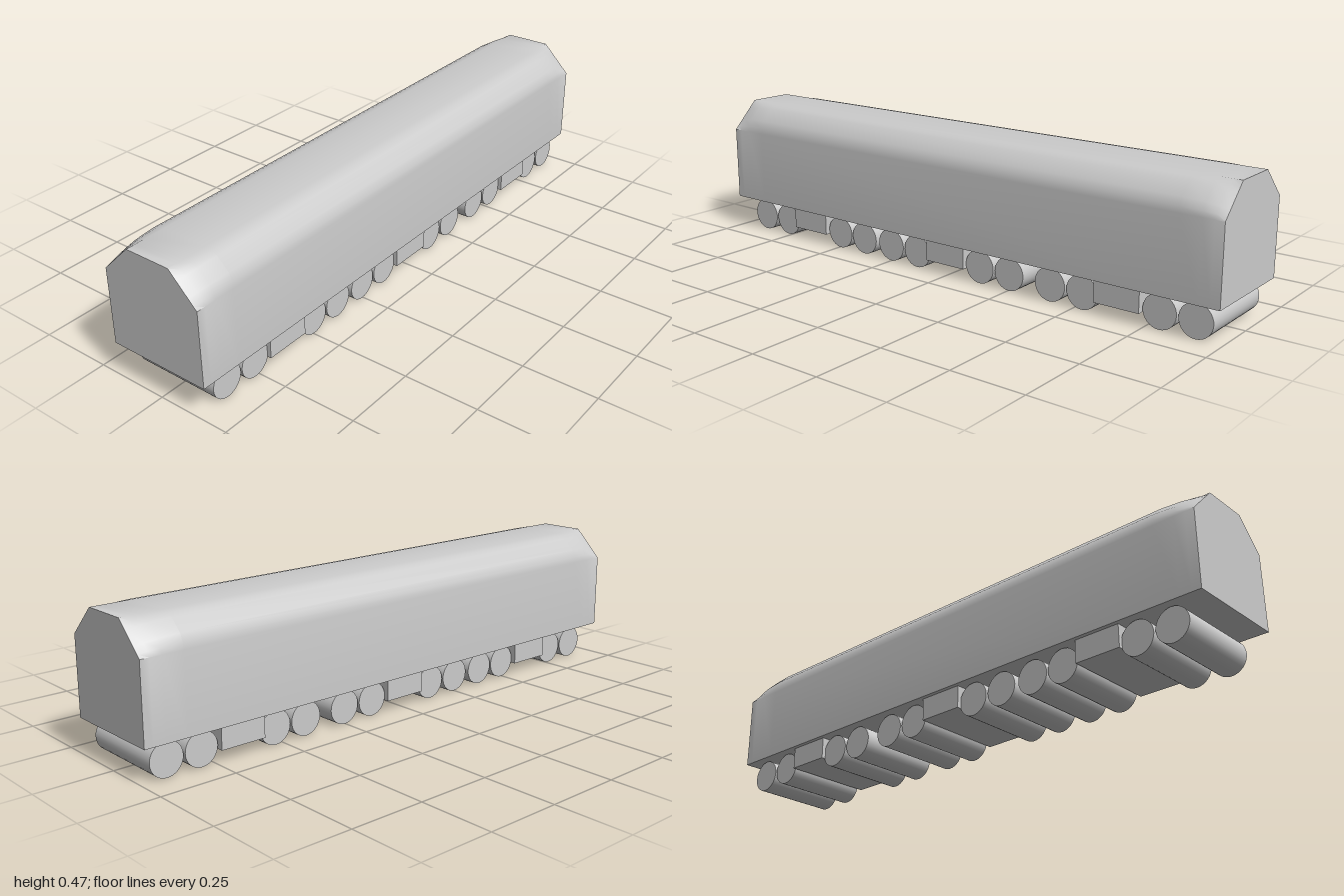
import * as THREE from 'three';
import { toCreasedNormals } from 'three/addons/utils/BufferGeometryUtils.js';

const material = new THREE.MeshStandardMaterial({ color: 0xcccccc });

// Half sections: rounded shoulder along the hull, flat chamfer at the ends
const shoulder = [[0.178, 0.373], [0.175, 0.393], [0.164, 0.418], [0.124, 0.456], [0.106, 0.465], [0.08, 0.47]];
const floorY = 0.115;

// Closed section, counter-clockwise seen from +z; bulge 0 = chamfer, 1 = rounded
function section(bulge) {
  const first = shoulder[0], last = shoulder[shoulder.length - 1];
  const half = shoulder.map(([x, y]) => {
    // project onto the 45-degree chamfer, then move out towards the rounded point
    const dx = last[0] - first[0], dy = last[1] - first[1];
    const t = ((x - first[0]) * dx + (y - first[1]) * dy) / (dx * dx + dy * dy);
    const fx = first[0] + dx * t, fy = first[1] + dy * t;
    return [fx + (x - fx) * bulge, fy + (y - fy) * bulge];
  });
  const right = [[first[0], floorY], ...half];
  return [...right, ...right.map(([x, y]) => [-x, y]).reverse()];
}

function hullGeometry() {
  const ends = [[1, 0], [0.97, 0.4], [0.93, 0.75], [0.86, 1]];
  const rings = [...ends, ...ends.map(([z, b]) => [-z, b]).reverse()];
  const n = section(0).length;
  const positions = [], index = [];
  for (const [z, bulge] of rings) {
    for (const [x, y] of section(bulge)) positions.push(x, y, z);
  }
  // Skin
  for (let k = 0; k < rings.length - 1; k++) {
    for (let i = 0; i < n; i++) {
      const j = (i + 1) % n;
      const a = k * n + i, b = k * n + j, c = a + n, d = b + n;
      index.push(a, c, b, b, c, d);
    }
  }
  // End walls
  const back = (rings.length - 1) * n;
  for (let i = 1; i < n - 1; i++) {
    index.push(0, i, i + 1, back, back + i + 1, back + i);
  }
  const geometry = new THREE.BufferGeometry();
  geometry.setAttribute('position', new THREE.Float32BufferAttribute(positions, 3));
  geometry.setIndex(index);
  return toCreasedNormals(geometry, Math.PI / 5);
}

export function createModel() {
  const model = new THREE.Group();
  const add = (name, geometry, y = 0, z = 0) => {
    const mesh = new THREE.Mesh(geometry, material);
    mesh.name = name;
    mesh.position.set(0, y, z);
    model.add(mesh);
  };

  add('body', hullGeometry());

  // Wheel rollers spanning the underside
  const wheel = new THREE.CylinderGeometry(0.056, 0.056, 0.298, 32).rotateZ(Math.PI / 2);
  const wheelZ = [0.882, 0.764, 0.495, 0.378, 0.252, 0.134, -0.134, -0.252, -0.41, -0.528, -0.796, -0.914];
  wheelZ.forEach((z, i) => add(`wheel${i + 1}`, wheel, 0.057, z));

  // Underfloor equipment boxes
  const box = new THREE.BoxGeometry(0.326, 0.076, 0.157);
  [0.633, 0.002, -0.657].forEach((z, i) => add(`underfloorBox${i + 1}`, box, 0.078, z));

  return model;
}
